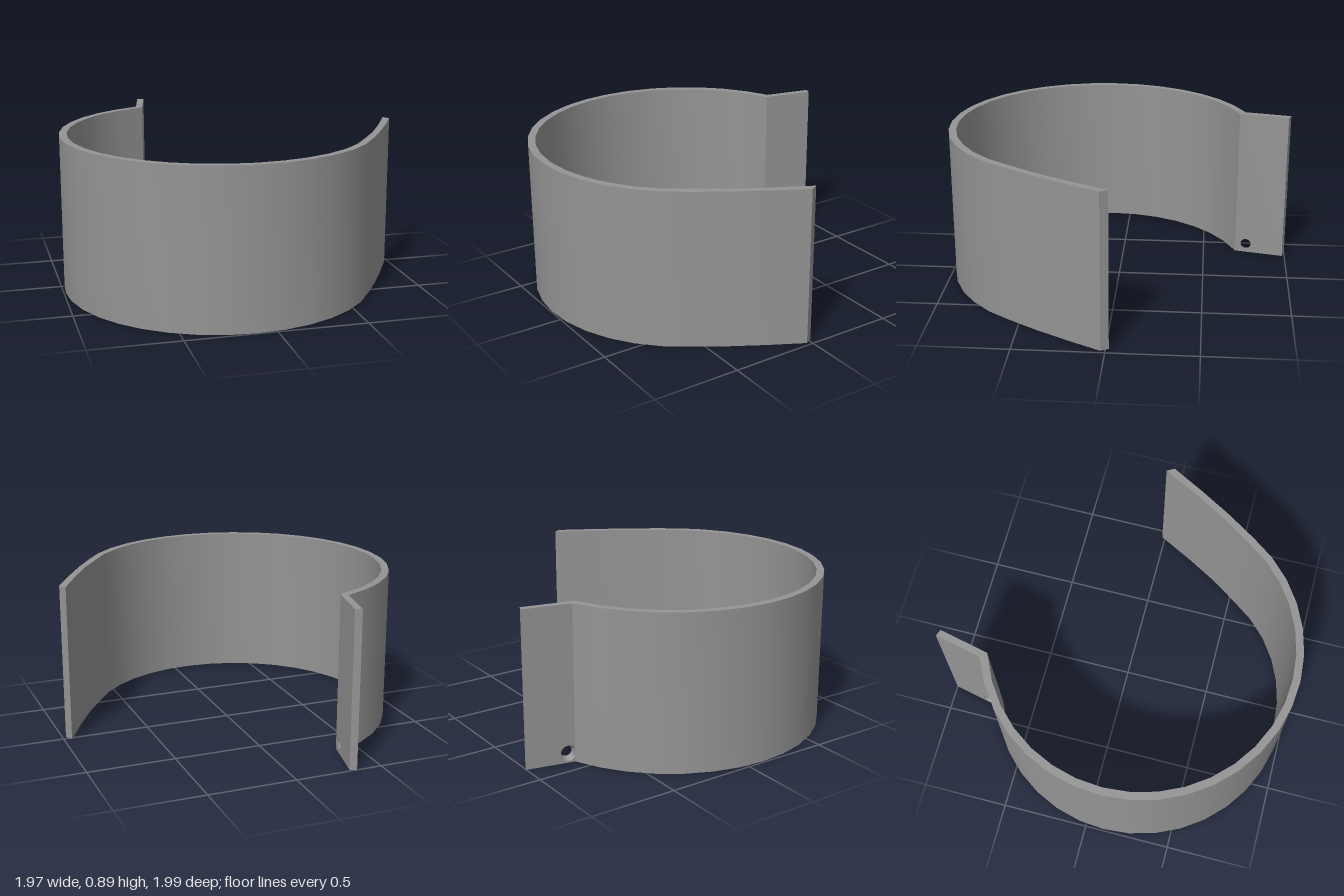
import * as THREE from 'three';
import { toCreasedNormals } from 'three/addons/utils/BufferGeometryUtils.js';

const HEIGHT = 0.895;
const CENTRE = [-0.1, 0.105];
const R_OUT = 0.89, R_IN = 0.847;
const ARC_START = THREE.MathUtils.degToRad(31);
const ARC_END = THREE.MathUtils.degToRad(249.4);

// Plan corners [x, z] of the bent tab: crease and tip, outer and inner side
const TAB = {
  outer: [[-0.413, -0.73], [-0.355, -1.0]],
  inner: [[-0.38, -0.697], [-0.317, -0.985]],
};

const material = () => new THREE.MeshStandardMaterial({ color: 0x949494 });

function part(name, geometry) {
  const mesh = new THREE.Mesh(toCreasedNormals(geometry, 0.4), material());
  mesh.name = name;
  return mesh;
}

const onCircle = (radius, a) => [CENTRE[0] + radius * Math.cos(a), CENTRE[1] + radius * Math.sin(a)];

// Points along the round part, from the free end round to the tab crease
function arc(radius, crease) {
  const segments = 22, pts = [];
  for (let i = 0; i < segments; i++) {
    pts.push(onCircle(radius, ARC_START + (ARC_END - ARC_START) * i / segments));
  }
  return [...pts, crease];
}

// Strip between an outer and an inner plan line, extruded upwards
function strip(outer, inner) {
  const outline = [...outer, ...inner.reverse()].map(([x, z]) => new THREE.Vector2(x, -z));
  const geo = new THREE.ExtrudeGeometry(new THREE.Shape(outline), { depth: HEIGHT, bevelEnabled: false });
  return geo.rotateX(-Math.PI / 2);
}

// Flat plate with a countersunk hole, moved onto the tab's plan corners
function tab() {
  const length = 0.28, hole = { u: 0.062, v: 0.055, r: 0.03 };
  const shape = new THREE.Shape();
  shape.moveTo(0, 0).lineTo(length, 0).lineTo(length, HEIGHT).lineTo(0, HEIGHT).closePath();
  shape.holes.push(new THREE.Path().absarc(hole.u, hole.v, hole.r, 0, Math.PI * 2, true));
  const geo = new THREE.ExtrudeGeometry(shape, { depth: 1, bevelEnabled: false, curveSegments: 24 });

  const pos = geo.attributes.position;
  for (let i = 0; i < pos.count; i++) {
    let u = pos.getX(i), v = pos.getY(i);
    const inside = pos.getZ(i) > 0.5;
    // Widen the hole on the outer side, stopping at the crease
    if (!inside && Math.hypot(u - hole.u, v - hole.v) < hole.r * 1.05) {
      u = Math.max(0.001, 0.038 + (u - hole.u) * 1.5);
      v = hole.v + (v - hole.v) * 1.5;
    }
    const [a, b] = inside ? TAB.inner : TAB.outer;
    const t = u / length;
    pos.setXYZ(i, a[0] + (b[0] - a[0]) * t, v, a[1] + (b[1] - a[1]) * t);
  }
  return geo;
}

export function createModel() {
  const group = new THREE.Group();
  group.name = 'openClampBand';

  // Round band, then the nearly straight free end that leaves it
  const band = strip(arc(R_OUT, TAB.outer[0]), arc(R_IN, TAB.inner[0]));
  const freeEnd = strip(
    [[0.98, 0.025], [0.88, 0.21], [0.768, 0.402], onCircle(R_OUT, ARC_START)],
    [[0.955, -0.018], [0.85, 0.183], [0.735, 0.383], onCircle(R_IN, ARC_START)],
  );

  group.add(part('curvedBand', band), part('freeEnd', freeEnd), part('bentTab', tab()));
  return group;
}
